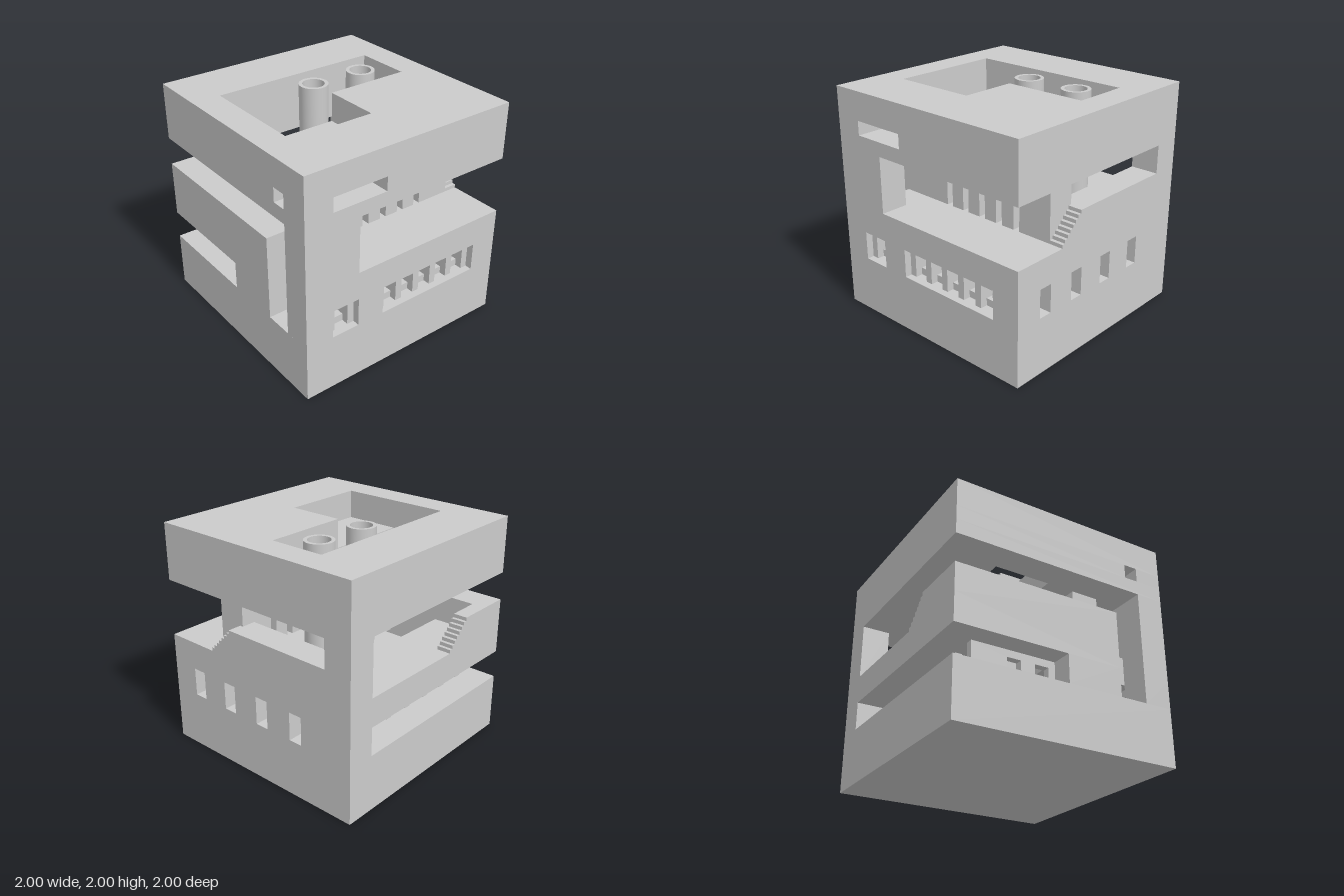
import * as THREE from 'three';

const mat = new THREE.MeshStandardMaterial({ color: 0xcccccc, flatShading: true });
const smooth = new THREE.MeshStandardMaterial({ color: 0xcccccc });

export function createModel() {
  const root = new THREE.Group();

  const add = (name, geo, m = mat) => {
    const mesh = new THREE.Mesh(geo, m);
    mesh.name = name;
    root.add(mesh);
    return mesh;
  };
  // Box given by its extents
  const box = (name, x0, x1, y0, y1, z0, z1) =>
    add(name, new THREE.BoxGeometry(x1 - x0, y1 - y0, z1 - z0))
      .position.set((x0 + x1) / 2, (y0 + y1) / 2, (z0 + z1) / 2);
  const toPoints = (pts) => pts.map(([a, b]) => new THREE.Vector2(a, b));
  const rect = (a0, a1, b0, b1) => [[a0, b0], [a1, b0], [a1, b1], [a0, b1]];
  const extrude = (outline, holes, depth) => {
    const shape = new THREE.Shape(toPoints(outline));
    shape.holes = holes.map((h) => new THREE.Path(toPoints(h)));
    return new THREE.ExtrudeGeometry(shape, { depth, bevelEnabled: false });
  };
  // Mirrored coordinates are listed backwards to keep the winding
  const flipZ = (pts) => pts.map(([x, z]) => [x, -z]).reverse();
  const flipSide = (pts) => pts.map(([z, y]) => [-z, y]).reverse();
  // Floor plate: outline and holes are [x, z], between heights y0 and y1
  const plate = (name, outline, holes, y0, y1) =>
    add(name, extrude(flipZ(outline), holes.map(flipZ), y1 - y0)
      .rotateX(-Math.PI / 2).translate(0, y0, 0));
  // Wall facing z: outline and holes are [x, y]
  const wallZ = (name, outline, holes, z0, z1) =>
    add(name, extrude(outline, holes, z1 - z0).translate(0, 0, z0));
  // Wall facing x: outline and holes are [z, y]
  const wallX = (name, outline, holes, x0, x1) =>
    add(name, extrude(flipSide(outline), holes.map(flipSide), x1 - x0)
      .rotateY(Math.PI / 2).translate(x0, 0, 0));

  const square = rect(-1, 1, -1, 1);

  // Solid base
  box('base', -1, 1, 0, 0.5, -1, 1);

  // Lower storey: back wall piers between four windows
  const backEdges = [-1, ...[-0.5, -0.125, 0.25, 0.625].flatMap((x) => [x, x + 0.125]), 1];
  for (let i = 0; i < backEdges.length; i += 2)
    box('lowerBackWall', backEdges[i], backEdges[i + 1], 0.5, 0.75, -1, -0.75);

  // Lower storey: front and right wall piers
  box('lowerFrontPier', 0, 0.5, 0.5, 0.75, 0.75, 1);
  box('frontRightPier', 0.75, 1, 0.5, 0.75, 0.75, 1);
  box('rightPier', 0.75, 1, 0.5, 0.75, 0.25, 0.5);

  // Right openings: row of posts in front of a thin pierced wall
  for (const [z0, count] of [[0.5, 1], [-0.75, 5]]) {
    const holes = [];
    for (let i = 0; i <= count; i++) {
      const z = z0 + i * 0.1875;
      box('rightPost', 0.875, 0.9375, 0.5, 0.75, z, z + 0.0625);
      if (i < count) holes.push(rect(z + 0.0625, z + 0.1875, 0.5625, 0.6875));
    }
    wallX('rightWindowWall', rect(z0, z0 + count * 0.1875 + 0.0625, 0.5, 0.75), holes, 0.8125, 0.875);
  }

  // Recessed front window wall and left colonnade
  wallZ('frontWindowWall', rect(-0.75, 0, 0.5, 0.75),
    [-0.4375, -0.1875].map((x) => rect(x, x + 0.125, 0.5625, 0.6875)), 0.75, 0.8125);
  for (let i = 0; i < 5; i++)
    box('leftPost', -0.75, -0.6875, 0.5, 0.75, -0.5 + i * 0.25, -0.4375 + i * 0.25);

  // Middle floor with front slot notch and courtyard opening
  plate('middleFloor',
    [[-1, -1], [1, -1], [1, 1], [0.75, 1], [0.75, 0.75], [0.5, 0.75], [0.5, 1], [-1, 1]],
    [rect(-0.5, 0, 0.25, 0.75)], 0.75, 1);

  // Upper storey: parapets, landing and corner piers
  box('frontParapet', -1, 0.5, 1, 1.25, 0.75, 1);
  box('leftLanding', -1, -0.875, 1, 1.25, 0.5, 0.75);
  box('backParapet', -0.75, 0.25, 1, 1.25, -1, -0.75);
  box('backLeftPier', -1, -0.75, 1, 1.5, -1, -0.75);
  box('upperFrontRightPier', 0.75, 1, 1, 1.5, 0.5, 1);

  // Two matching stairs, eight steps each
  for (let i = 0; i < 8; i++) {
    const s = i / 32, top = 1 + (i + 1) / 32;
    box('leftStairStep', -1, -0.875, 1, top, 0.25 + s, 0.25 + s + 1 / 32);
    box('backStairStep', 0.5 - s - 1 / 32, 0.5 - s, 1, top, -1, -0.875);
  }

  // Inner wall: slotted lower half, three windows above
  const outline = [[-0.875, 1]];
  for (let i = 0; i < 5; i++) {
    const z = -0.5625 + i * 0.1875;
    outline.push([z, 1], [z, 1.25], [z + 0.0625, 1.25], [z + 0.0625, 1]);
  }
  outline.push([0.75, 1], [0.75, 1.5], [-0.875, 1.5]);
  wallX('innerWall', outline,
    [-0.125, 0.0625, 0.25].map((z) => rect(z, z + 0.125, 1.3125, 1.4375)), 0.25, 0.5);

  // Roof in layers: side niche, light well and sunken terrace
  const well = rect(-0.5, 0, -0.75, 0.75);
  plate('roofUnderside', square, [well], 1.5, 1.625);
  plate('roofNicheLayer',
    [[-1, -1], [1, -1], [1, 0.25], [0.625, 0.25], [0.625, 1], [-1, 1]], [well], 1.625, 1.75);
  box('roofNicheCorner', 0.75, 1, 1.625, 1.75, 0.75, 1);
  plate('roofTop', square,
    [[[-0.5, -0.75], [0, -0.75], [0, 0], [0.5, 0], [0.5, 0.75], [-0.5, 0.75]]], 1.75, 2);

  // Two open pipes rising through the light well
  const pipeParts = {
    pipeOuter: [[0.125, 1], [0.125, 2]],
    pipeRim: [[0.125, 2], [0.094, 2]],
    pipeInner: [[0.094, 2], [0.094, 1]],
  };
  for (const z of [-0.5, 0])
    for (const [name, pts] of Object.entries(pipeParts))
      add(name, new THREE.LatheGeometry(toPoints(pts), 32), smooth).position.set(-0.25, 0, z);

  return root;
}
